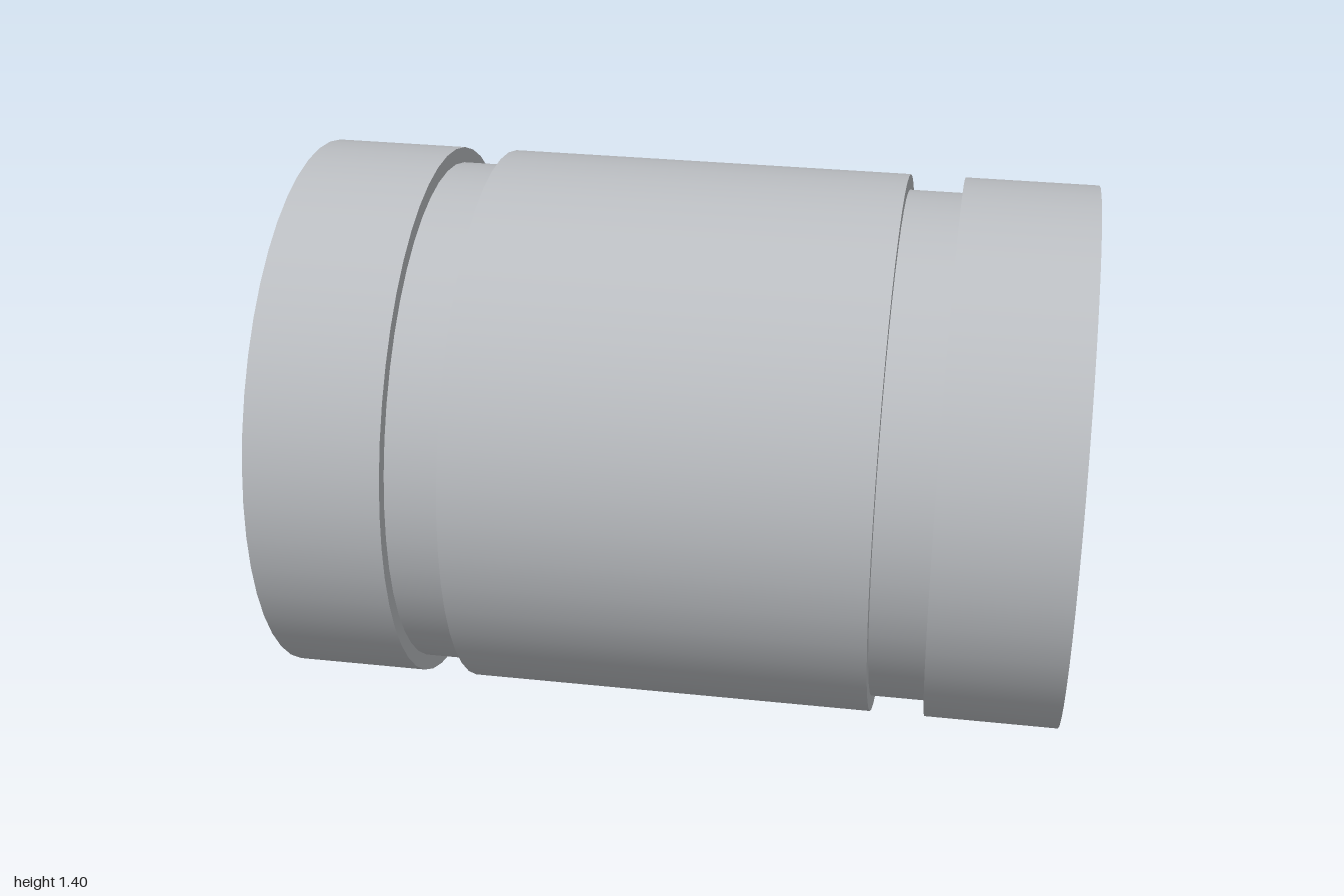
import * as THREE from 'three';
import { mergeGeometries } from 'three/addons/utils/BufferGeometryUtils.js';

const SIDES = 48;
const R = 0.7, GROOVE = 0.66, BORE = 0.3;

// Revolve a profile of [radius, x] points about the x axis, with a sharp edge at every point
function revolve(name, profile, material) {
  const bands = [];
  for (let i = 0; i < profile.length - 1; i++) {
    const pair = [profile[i], profile[i + 1]].map(([r, x]) => new THREE.Vector2(r, x));
    bands.push(new THREE.LatheGeometry(pair, SIDES));
  }
  const geometry = mergeGeometries(bands);
  geometry.rotateZ(-Math.PI / 2);
  const mesh = new THREE.Mesh(geometry, material);
  mesh.name = name;
  return mesh;
}

export function createModel() {
  const steel = new THREE.MeshStandardMaterial({ color: 0xbfc2c6 });
  steel.name = 'steel grey';

  const bushing = new THREE.Group();
  bushing.name = 'bushing';
  bushing.position.y = R;

  // Outer shell with two retaining-ring grooves
  bushing.add(revolve('outerShell', [
    [R, -1], [R, -0.66], [GROOVE, -0.66], [GROOVE, -0.52], [R, -0.52],
    [R, 0.52], [GROOVE, 0.52], [GROOVE, 0.66], [R, 0.66], [R, 1],
  ], steel));

  // Flat ring faces at both ends
  bushing.add(revolve('leftEndFace', [[R, 1], [BORE, 1]], steel));
  bushing.add(revolve('rightEndFace', [[BORE, -1], [R, -1]], steel));

  // Through bore, facing inward
  bushing.add(revolve('bore', [[BORE, 1], [BORE, -1]], steel));

  const model = new THREE.Group();
  model.name = 'linearBushing';
  model.add(bushing);
  return model;
}
